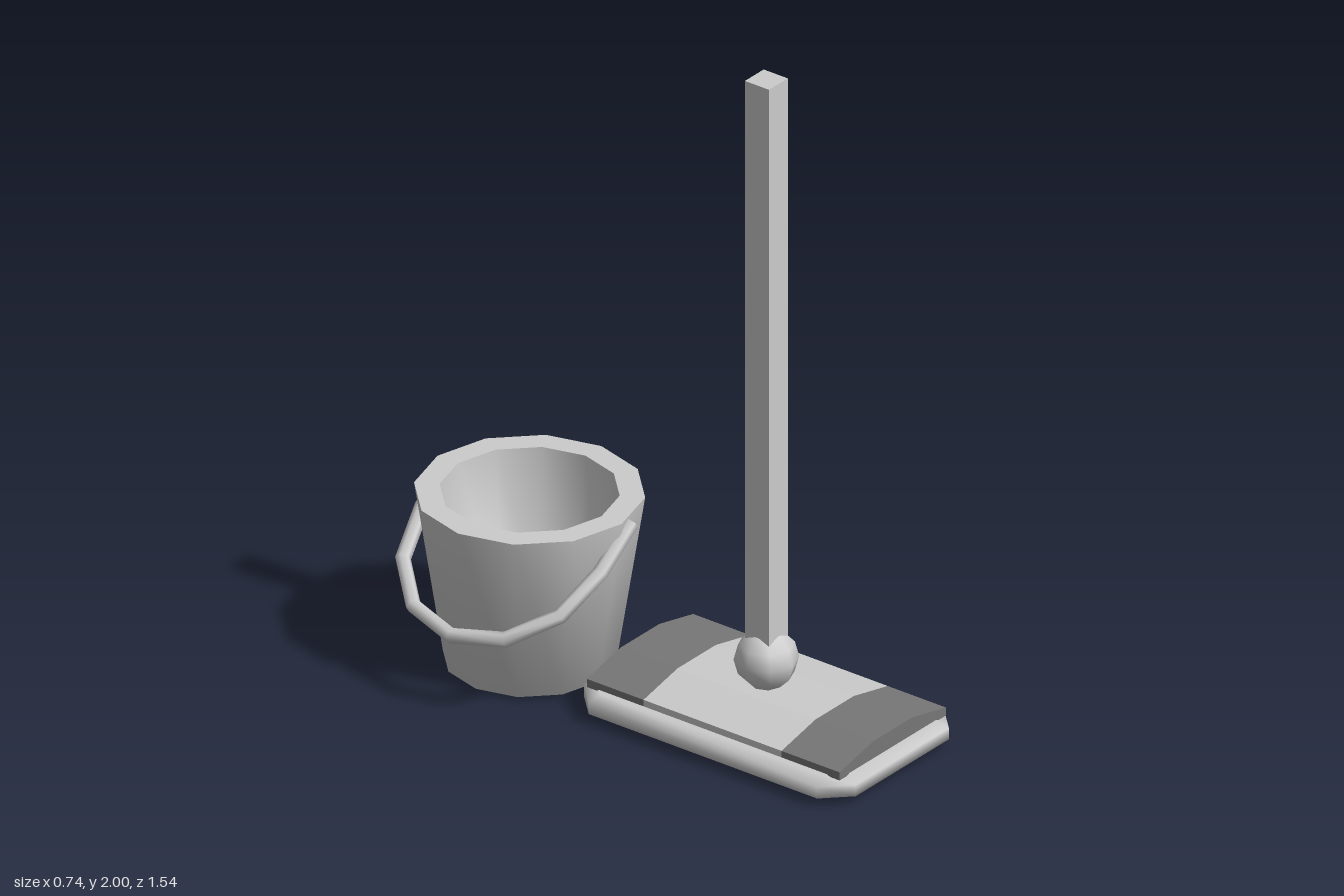
import * as THREE from 'three';

const grey = new THREE.MeshStandardMaterial({ color: 0xcccccc });
const dark = new THREE.MeshStandardMaterial({ color: 0x777777 });

function add(parent, name, geometry, material = grey, x = 0, y = 0, z = 0) {
  const mesh = new THREE.Mesh(geometry, material);
  mesh.name = name;
  mesh.position.set(x, y, z);
  parent.add(mesh);
  return mesh;
}

// Smooth closed body from stacked chamfered rectangles: rings of [y, inset]
function padGeometry(hx, hz, cut, rings) {
  const pos = [], index = [];
  for (const [y, inset] of rings) {
    const a = hx - inset, b = hz - inset, c = cut - inset * 0.4;
    for (const [x, z] of [[a, b - c], [a, c - b], [a - c, -b], [c - a, -b],
      [-a, c - b], [-a, b - c], [c - a, b], [a - c, b]]) pos.push(x, y, z);
  }
  const n = 8, last = (rings.length - 1) * n;
  const bottom = rings.length * n, top = bottom + 1;
  pos.push(0, rings[0][0], 0, 0, rings[rings.length - 1][0], 0);
  for (let i = 0; i < n; i++) {
    const j = (i + 1) % n;
    for (let r = 0; r < last; r += n) {
      index.push(r + i, r + j, r + n + i, r + j, r + n + j, r + n + i);
    }
    index.push(bottom, j, i, top, last + i, last + j);
  }
  const g = new THREE.BufferGeometry();
  g.setAttribute('position', new THREE.Float32BufferAttribute(pos, 3));
  g.setIndex(index);
  g.computeVertexNormals();
  return g;
}

function buildMop() {
  const mop = new THREE.Group();
  mop.name = 'mop';
  mop.position.set(0.087, 0, 0.299);

  // Cushioned pad
  add(mop, 'pad', padGeometry(0.281, 0.468, 0.075,
    [[0.004, 0.06], [0.03, 0], [0.065, 0], [0.085, 0.03]]));

  // Domed plate in three lengths, the ends darker
  const profile = new THREE.Shape([[-0.235, 0.08], [0.235, 0.08], [0.235, 0.105],
    [0.085, 0.138], [-0.085, 0.138], [-0.235, 0.105]].map(p => new THREE.Vector2(...p)));
  const strip = (name, z0, z1, material) => add(mop, name,
    new THREE.ExtrudeGeometry(profile, { depth: z1 - z0, bevelEnabled: false }),
    material, 0, 0, z0);
  strip('plateMiddle', -0.24, 0.235, grey);
  strip('plateFrontClamp', 0.235, 0.435, dark);
  strip('plateBackClamp', -0.435, -0.24, dark);

  // Swivel joint and square pole
  add(mop, 'joint', new THREE.SphereGeometry(0.09, 8, 6), grey, 0, 0.215, 0);
  add(mop, 'pole', new THREE.BoxGeometry(0.083, 1.74, 0.083), grey, 0, 1.13, 0);
  return mop;
}

function buildBucket() {
  const bucket = new THREE.Group();
  bucket.name = 'bucket';
  bucket.position.set(-0.004, 0, -0.445);

  // Outer shell, rim and inside are separate so the rim edges stay sharp
  const lathe = (name, pts) => add(bucket, name,
    new THREE.LatheGeometry(pts.map(p => new THREE.Vector2(...p)), 12));
  lathe('shell', [[0, 0.012], [0.238, 0.012], [0.317, 0.525]]);
  lathe('rim', [[0.317, 0.525], [0.247, 0.525]]);
  lathe('inside', [[0.247, 0.525], [0.195, 0.07], [0, 0.07]]);

  // Hanging bail: a half circle with straight ends, tipped down to one side
  const bail = new THREE.Group();
  bail.name = 'bail';
  bail.position.set(-0.096, 0.395, 0);
  bail.rotation.z = 0.6;
  const r = 0.305, end = 0.185, tube = 0.022;
  const pts = [new THREE.Vector3(end, 0, r)];
  for (let i = 0; i <= 6; i++) {
    const a = i * Math.PI / 6;
    pts.push(new THREE.Vector3(-r * Math.sin(a), 0, r * Math.cos(a)));
  }
  pts.push(new THREE.Vector3(end, 0, -r));
  add(bail, 'bailBar', new THREE.TubeGeometry(new THREE.CatmullRomCurve3(pts), 8, tube, 6));
  for (const s of [-1, 1]) {
    add(bail, 'bailEnd', new THREE.CircleGeometry(tube, 6).rotateY(Math.PI / 2),
      grey, end, 0, s * r);
  }
  bucket.add(bail);
  return bucket;
}

export function createModel() {
  const model = new THREE.Group();
  model.name = 'mopAndBucket';
  model.add(buildMop(), buildBucket());
  return model;
}
